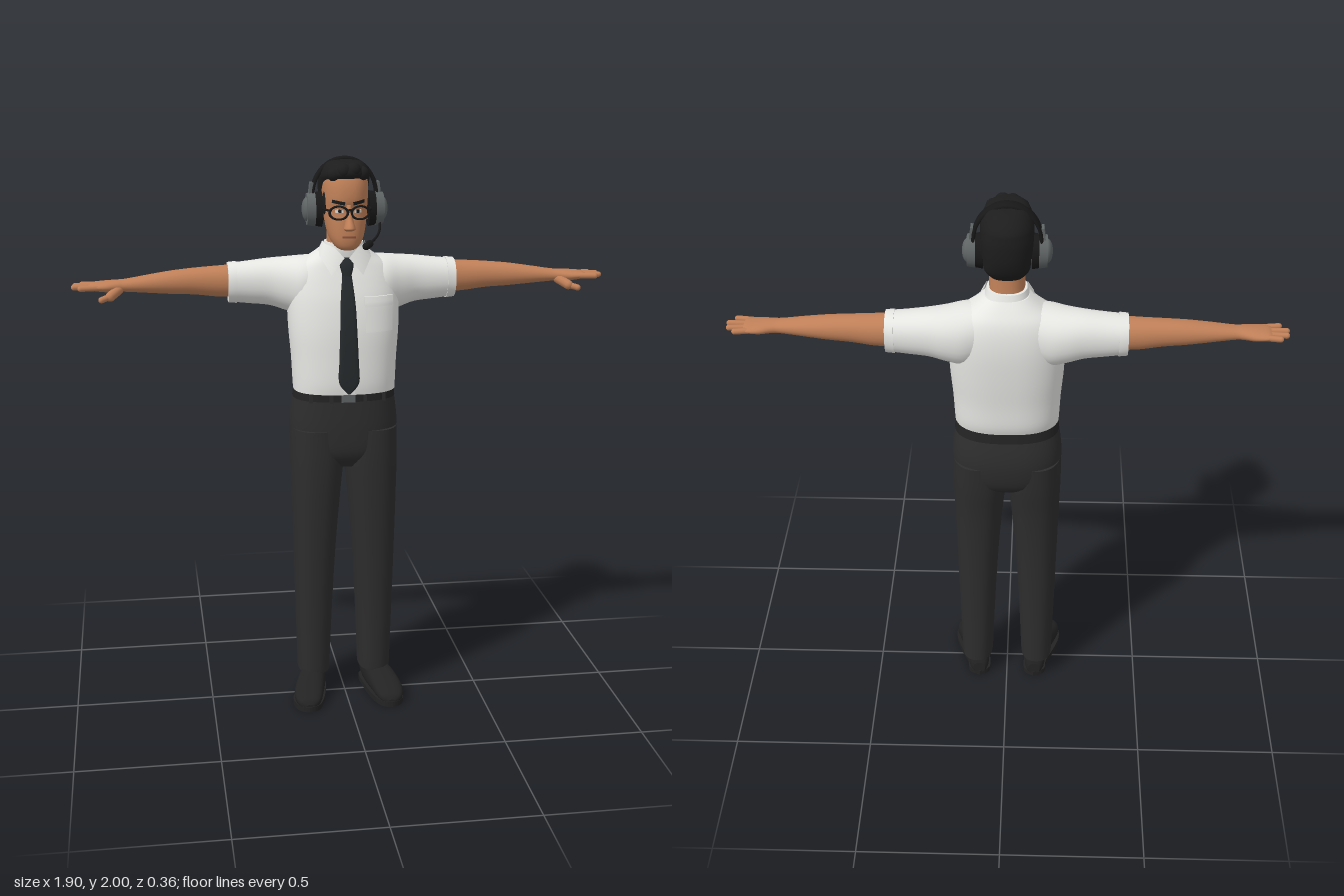
import * as THREE from 'three';

const mat = (name, color, side = THREE.FrontSide) => {
  const m = new THREE.MeshStandardMaterial({ color, side });
  m.name = name;
  return m;
};

// Smooth loft of superellipse rings along an axis.
// Row: [t, aMin, aMax, bMin, bMax]; axis x: a=y b=z, axis y: a=z b=x, axis z: a=x b=y
function loft(axis, rows, p = 2.3, steps = 4, seg = 32) {
  const o = { x: 0, y: 1, z: 2 }[axis], pos = [], idx = [], rings = [];
  const row = i => rows[Math.max(0, Math.min(rows.length - 1, i))];
  for (let i = 0; i < rows.length - 1; i++) {
    for (let s = i ? 1 : 0; s <= steps; s++) {
      const u = s / steps;
      rings.push(rows[i].map((b, k) => {
        const a = row(i - 1)[k], c = row(i + 1)[k], d = row(i + 2)[k];
        return 0.5 * (2 * b + (c - a) * u + (2 * a - 5 * b + 4 * c - d) * u * u + (3 * b - a - 3 * c + d) * u ** 3);
      }));
    }
  }
  const put = (t, a, b) => {
    const v = [0, 0, 0];
    v[o] = t; v[(o + 1) % 3] = a; v[(o + 2) % 3] = b;
    return pos.push(...v) / 3 - 1;
  };
  const pw = v => Math.sign(v) * Math.abs(v) ** (2 / p);
  const ring = ([t, a0, a1, b0, b1]) => {
    for (let j = 0; j < seg; j++) {
      const th = j / seg * Math.PI * 2;
      put(t, (a0 + a1) / 2 + (a1 - a0) / 2 * pw(Math.cos(th)), (b0 + b1) / 2 + (b1 - b0) / 2 * pw(Math.sin(th)));
    }
    return pos.length / 3 - seg;
  };
  const starts = rings.map(ring);
  for (let i = 0; i < starts.length - 1; i++) for (let j = 0; j < seg; j++) {
    const k = (j + 1) % seg, A = starts[i], B = starts[i + 1];
    idx.push(A + j, A + k, B + k, A + j, B + k, B + j);
  }
  // end caps with their own vertices so the rims stay crisp
  [rings[0], rings[rings.length - 1]].forEach((r, e) => {
    const s = ring(r), c = put(r[0], (r[1] + r[2]) / 2, (r[3] + r[4]) / 2);
    for (let j = 0; j < seg; j++) {
      const k = (j + 1) % seg;
      idx.push(c, s + (e ? j : k), s + (e ? k : j));
    }
  });
  const g = new THREE.BufferGeometry();
  g.setAttribute('position', new THREE.Float32BufferAttribute(pos, 3));
  g.setIndex(idx);
  g.computeVertexNormals();
  return g;
}

// Front surface depth of a y-loft at (x, y)
function frontZ(rows, x, y, p) {
  let i = 0;
  while (i < rows.length - 2 && rows[i + 1][0] < y) i++;
  const u = (y - rows[i][0]) / (rows[i + 1][0] - rows[i][0]);
  const [, z0, z1, , hx] = rows[i].map((v, k) => v + (rows[i + 1][k] - v) * u);
  return (z0 + z1) / 2 + (z1 - z0) / 2 * Math.max(0, 1 - Math.abs(x / hx) ** p) ** (1 / p);
}

// Thin plate wrapped onto the front of a y-loft
function plate(rows, p, x, y, w, h, d, tilt = 0) {
  const g = new THREE.BoxGeometry(w, h, d, 8, 6, 1).rotateZ(tilt).translate(x, y, 0), a = g.attributes.position;
  for (let i = 0; i < a.count; i++) a.setZ(i, a.getZ(i) + frontZ(rows, a.getX(i), a.getY(i), p));
  g.computeVertexNormals();
  return g;
}

function mirror(g) {
  const m = g.clone().scale(-1, 1, 1), ix = m.index.array;
  for (let i = 0; i < ix.length; i += 3) [ix[i], ix[i + 1]] = [ix[i + 1], ix[i]];
  return m;
}

const V = a => new THREE.Vector3(...a);
const tube = (pts, r, n = 24) => new THREE.TubeGeometry(new THREE.CatmullRomCurve3(pts.map(V)), n, r, 8);
const ball = (x, y, z, a, b, c) => new THREE.SphereGeometry(1, 20, 14).scale(a, b, c).translate(x, y, z);
function capsule(a, b, r) {
  const A = V(a), B = V(b), d = B.clone().sub(A);
  const q = new THREE.Quaternion().setFromUnitVectors(V([0, 1, 0]), d.clone().normalize());
  const c = A.add(B).multiplyScalar(0.5);
  return new THREE.CapsuleGeometry(r, d.length(), 5, 10).applyQuaternion(q).translate(c.x, c.y, c.z);
}
const sym = rows => rows.map(([y, z0, z1, x]) => [y, z0, z1, -x, x]);

export function createModel() {
  const root = new THREE.Group();
  root.name = 'officeMan';
  const shirt = mat('shirt white', 0xe6e6e3, THREE.DoubleSide), skin = mat('skin', 0xc08058);
  const hair = mat('hair black', 0x1d1d1e), cloth = mat('trouser charcoal', 0x2d2d2e);
  const tieM = mat('tie dark slate', 0x25292b), leather = mat('black leather', 0x232323);
  const grey = mat('headset grey', 0x5f6464), black = mat('black plastic', 0x181818);
  const eyeM = mat('eye white', 0xd8d2ca), lip = mat('lip brown', 0x8a513c);
  const add = (name, g, m) => {
    const mesh = new THREE.Mesh(g, m);
    mesh.name = name;
    root.add(mesh);
  };
  const pair = (name, g, m) => { add(name + 'Left', g, m); add(name + 'Right', mirror(g), m); };

  // Shirt
  const torso = sym([[1.18, -0.155, 0.105, 0.182], [1.22, -0.165, 0.108, 0.184], [1.3, -0.168, 0.105, 0.188],
    [1.4, -0.175, 0.098, 0.196], [1.5, -0.178, 0.08, 0.198], [1.57, -0.172, 0.058, 0.19],
    [1.62, -0.158, 0.04, 0.165], [1.655, -0.135, 0.03, 0.115], [1.685, -0.11, 0.025, 0.075]]);
  add('shirtTorso', loft('y', torso, 2.5, 4, 48), shirt);
  pair('sleeve', loft('x', [[0.07, 1.47, 1.655, -0.15, 0.02], [0.14, 1.44, 1.651, -0.17, 0.035], [0.2, 1.455, 1.645, -0.172, 0.012],
    [0.26, 1.474, 1.64, -0.165, -0.008], [0.33, 1.482, 1.632, -0.158, -0.016], [0.4, 1.49, 1.625, -0.153, -0.02]], 2.2), shirt);
  pair('sleeveHem', loft('x', [[0.375, 1.484, 1.631, -0.158, -0.016], [0.405, 1.487, 1.628, -0.156, -0.018]], 2.2, 1), shirt);
  add('collarStand', loft('y', sym([[1.645, -0.125, 0.035, 0.085], [1.68, -0.11, 0.038, 0.076], [1.705, -0.1, 0.036, 0.068]])), shirt);
  // folded collar wings
  const wing = new THREE.BufferGeometry();
  wing.setAttribute('position', new THREE.Float32BufferAttribute([0.008, 1.655, 0.052, 0.055, 1.598, 0.068, 0.088, 1.655, 0.03,
    0.07, 1.7, 0.005, 0.04, 1.69, 0.04, 0.095, 1.665, -0.03, 0.074, 1.705, -0.04], 3));
  wing.setIndex([0, 1, 4, 1, 2, 4, 2, 3, 4, 2, 5, 3, 5, 6, 3]);
  wing.computeVertexNormals();
  pair('collarWing', wing, shirt);
  add('placket', plate(torso, 2.5, 0, 1.4, 0.04, 0.43, 0.009), shirt);
  add('chestPocket', plate(torso, 2.5, 0.112, 1.455, 0.1, 0.11, 0.012), shirt);
  add('pocketFlap', plate(torso, 2.5, 0.112, 1.505, 0.106, 0.035, 0.02), shirt);

  // Tie
  const tieRow = (y, w) => { const f = frontZ(torso, 0, y, 2.5); return [y, f - 0.01, f + 0.014, w]; };
  add('tieBlade', loft('y', sym([tieRow(1.185, 0.004), tieRow(1.225, 0.035), tieRow(1.3, 0.034), tieRow(1.4, 0.03),
    tieRow(1.5, 0.026), tieRow(1.6, 0.016)]), 4), tieM);
  add('tieKnot', loft('y', sym([[1.595, 0.04, 0.07, 0.015], [1.63, 0.03, 0.064, 0.024], [1.655, 0.02, 0.052, 0.02]]), 3), tieM);

  // Arms and hands
  pair('arm', loft('x', [[0.36, 1.505, 1.622, -0.143, -0.03], [0.44, 1.508, 1.617, -0.14, -0.034], [0.52, 1.518, 1.612, -0.132, -0.036],
    [0.6, 1.523, 1.605, -0.124, -0.034], [0.68, 1.53, 1.594, -0.113, -0.033], [0.76, 1.537, 1.582, -0.1, -0.034],
    [0.79, 1.538, 1.58, -0.101, -0.03], [0.83, 1.538, 1.577, -0.112, -0.021], [0.87, 1.544, 1.573, -0.114, -0.02],
    [0.885, 1.55, 1.568, -0.108, -0.026]], 2.1), skin);
  [[0.915, -0.03, -0.022], [0.938, -0.054, -0.053], [0.935, -0.078, -0.083], [0.912, -0.1, -0.108]].forEach(([x, z0, z1], i) =>
    pair('finger' + (i + 1), capsule([0.86, 1.558, z0], [x, 1.558, z1], 0.0105), skin));
  pair('thumbBase', capsule([0.785, 1.548, -0.045], [0.815, 1.53, -0.012], 0.017), skin);
  pair('thumb', capsule([0.815, 1.53, -0.012], [0.845, 1.522, 0.004], 0.011), skin);

  // Trousers and belt
  add('trouserHips', loft('y', sym([[0.9, -0.11, 0.05, 0.1], [0.95, -0.162, 0.085, 0.182], [1.03, -0.179, 0.091, 0.194],
    [1.1, -0.174, 0.089, 0.19], [1.185, -0.15, 0.083, 0.176]]), 2.5, 4, 48), cloth);
  pair('trouserLeg', loft('y', [[0.09, -0.134, 0.047, 0.056, 0.173], [0.13, -0.134, 0.05, 0.054, 0.174], [0.35, -0.133, 0.06, 0.045, 0.18],
    [0.6, -0.137, 0.075, 0.031, 0.186], [0.8, -0.148, 0.086, 0.014, 0.191], [0.93, -0.164, 0.09, 0.001, 0.194],
    [1.04, -0.172, 0.088, 0.003, 0.192]], 2.4), cloth);
  add('belt', loft('y', sym([[1.15, -0.163, 0.09, 0.184], [1.185, -0.157, 0.088, 0.18]]), 2.5, 1, 48), leather);
  add('beltBuckle', new THREE.BoxGeometry(0.05, 0.032, 0.012).translate(0, 1.167, 0.092), grey);
  [0.06, 0.13].forEach((x, i) => pair('beltLoop' + i, new THREE.BoxGeometry(0.012, 0.042, 0.01)
    .translate(x, 1.167, i ? 0.066 : 0.087), cloth));

  // Shoes, toes turned slightly outward
  pair('shoe', loft('z', [[-0.118, 0.085, 0.13, 0.012, 0.06], [-0.1, 0.072, 0.146, 0.008, 0.1], [-0.04, 0.07, 0.156, 0.008, 0.115],
    [0.03, 0.078, 0.182, 0.008, 0.106], [0.09, 0.092, 0.201, 0.008, 0.077], [0.135, 0.104, 0.2, 0.008, 0.058],
    [0.162, 0.118, 0.188, 0.01, 0.045], [0.174, 0.14, 0.166, 0.014, 0.028]], 2.5), leather);
  const sole = new THREE.Shape();
  new THREE.SplineCurve([[0.105, 0.122], [0.068, 0.095], [0.07, 0.02], [0.088, -0.09], [0.115, -0.16], [0.155, -0.178], [0.192, -0.155],
    [0.206, -0.095], [0.188, -0.025], [0.155, 0.05], [0.146, 0.1], [0.105, 0.122]].map(q => new THREE.Vector2(...q)))
    .getPoints(44).forEach((q, i) => (i ? sole.lineTo(q.x, q.y) : sole.moveTo(q.x, q.y)));
  const soleG = new THREE.ExtrudeGeometry(sole, { depth: 0.02, bevelEnabled: false }).rotateX(-Math.PI / 2);
  soleG.setIndex([...Array(soleG.attributes.position.count).keys()]);
  pair('shoeSole', soleG, leather);

  // Head
  const head = sym([[1.688, 0.01, 0.088, 0.026], [1.7, -0.02, 0.1, 0.043], [1.73, -0.055, 0.106, 0.06], [1.78, -0.085, 0.104, 0.071],
    [1.825, -0.105, 0.1, 0.076], [1.86, -0.115, 0.109, 0.078], [1.91, -0.118, 0.104, 0.079], [1.95, -0.1, 0.085, 0.07], [1.975, -0.06, 0.05, 0.04]]);
  add('neck', loft('y', sym([[1.64, -0.1, 0.025, 0.062], [1.7, -0.09, 0.035, 0.06], [1.78, -0.085, 0.05, 0.06]])), skin);
  add('head', loft('y', head, 2.4), skin);
  add('nose', loft('y', sym([[1.757, 0.09, 0.12, 0.012], [1.765, 0.09, 0.149, 0.02], [1.775, 0.09, 0.15, 0.018],
    [1.805, 0.09, 0.13, 0.011], [1.845, 0.09, 0.112, 0.009]]), 2), skin);
  pair('ear', ball(0.08, 1.815, -0.01, 0.012, 0.035, 0.022), skin);
  add('mouth', plate(head, 2.4, 0, 1.735, 0.046, 0.007, 0.008), lip);
  pair('eye', plate(head, 2.4, 0.032, 1.823, 0.026, 0.011, 0.006), eyeM);
  pair('pupil', plate(head, 2.4, 0.031, 1.823, 0.01, 0.011, 0.009), black);
  pair('eyebrow', plate(head, 2.4, 0.035, 1.853, 0.042, 0.011, 0.009, 0.18), hair);

  // Hair
  add('hairCap', loft('y', sym([[1.755, -0.09, -0.035, 0.05], [1.785, -0.112, -0.02, 0.074], [1.83, -0.128, 0.02, 0.082],
    [1.885, -0.134, 0.04, 0.087], [1.918, -0.132, 0.075, 0.088], [1.94, -0.127, 0.106, 0.086], [1.965, -0.105, 0.105, 0.075],
    [1.983, -0.075, 0.08, 0.054], [1.99, -0.03, 0.03, 0.02]]), 2.2), hair);
  [[-0.045, 1.945], [-0.015, 1.957], [0.018, 1.96], [0.048, 1.947]].forEach(([x, y], i) =>
    add('hairTuft' + (i + 1), ball(x, y, 0.092 - Math.abs(x) * 0.5, 0.026, 0.025, 0.026), hair));
  pair('sideburn', ball(0.075, 1.845, 0.03, 0.006, 0.04, 0.018), hair);

  // Glasses
  pair('glassesRim', new THREE.TorusGeometry(0.027, 0.0042, 8, 28).scale(1.15, 0.82, 1).rotateY(0.15).translate(0.037, 1.82, 0.116), black);
  add('glassesBridge', tube([[-0.01, 1.826, 0.119], [0, 1.83, 0.122], [0.01, 1.826, 0.119]], 0.004, 8), black);
  pair('glassesTemple', tube([[0.066, 1.828, 0.112], [0.079, 1.828, 0.08], [0.084, 1.828, 0]], 0.004), black);

  // Headset
  const arc = (rx, ry, y0) => Array.from({ length: 17 }, (_, i) => {
    const a = Math.PI * i / 16;
    return [rx * Math.cos(a), y0 + ry * Math.sin(a), 0];
  });
  add('headband', tube(arc(0.112, 0.127, 1.865), 0.0075, 40).scale(1, 1, 3.6).translate(0, 0, -0.012), black);
  const disc = (x, r, w) => new THREE.CylinderGeometry(r, r * 1.08, w, 28).rotateZ(-Math.PI / 2).scale(1, 1.15, 1).translate(x, 1.82, -0.002);
  pair('earCushion', disc(0.094, 0.05, 0.026), black);
  pair('earCup', disc(0.119, 0.048, 0.028), grey);
  pair('earCupCap', ball(0.13, 1.82, -0.002, 0.02, 0.042, 0.036), grey);
  pair('bandSlider', new THREE.BoxGeometry(0.014, 0.06, 0.034).rotateZ(0.12).translate(0.117, 1.882, -0.008), grey);
  add('microphoneBoom', tube([[0.122, 1.785, 0.012], [0.115, 1.75, 0.045], [0.092, 1.73, 0.1], [0.06, 1.716, 0.145]], 0.0045), black);
  add('microphone', capsule([0.066, 1.717, 0.138], [0.05, 1.712, 0.162], 0.013), black);
  return root;
}
